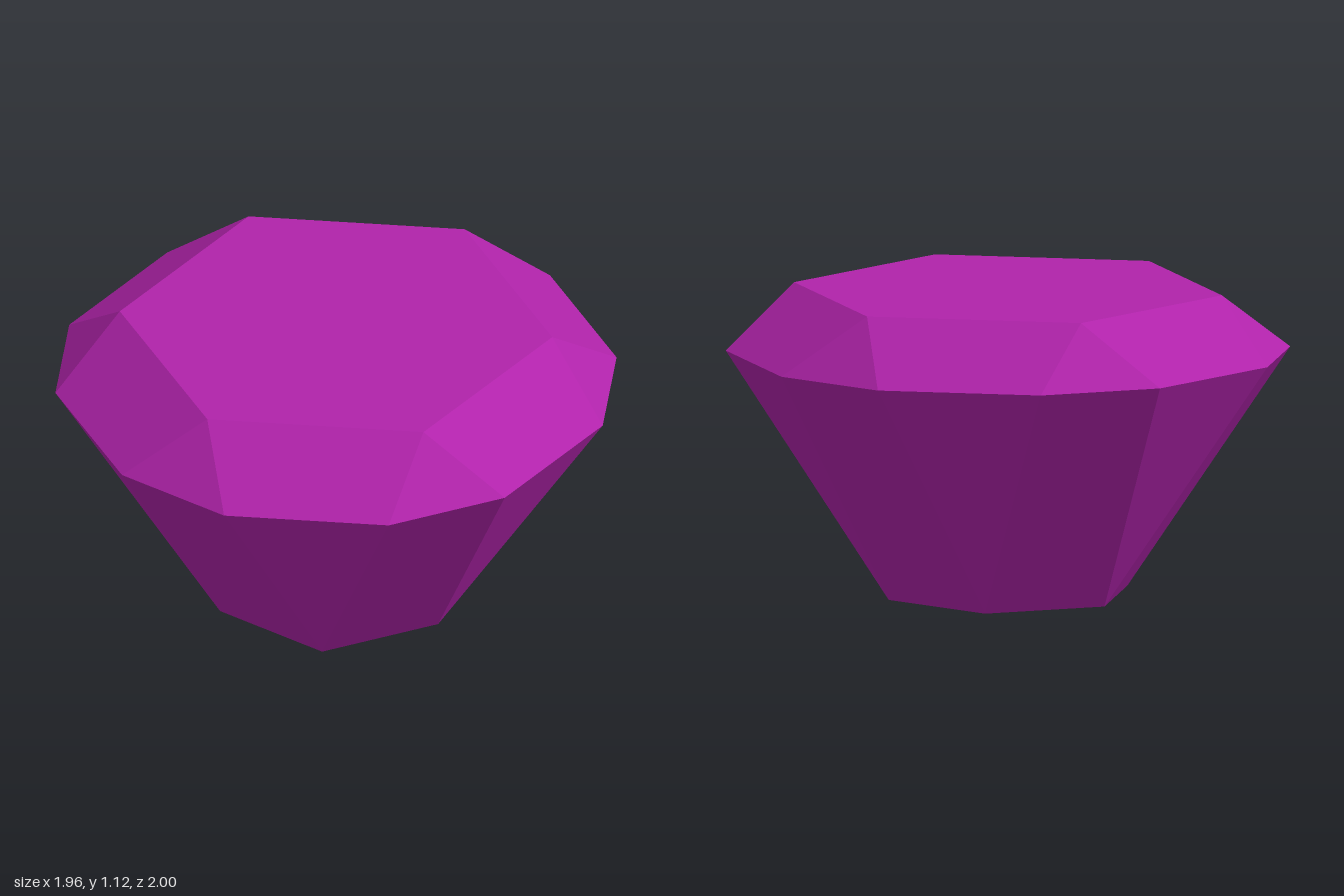
import * as THREE from 'three';

// Point on a horizontal ring; the angle runs from +z towards +x
const at = (radius, degrees, y) => {
  const a = THREE.MathUtils.degToRad(degrees);
  return new THREE.Vector3(radius * Math.sin(a), y, radius * Math.cos(a));
};

// Flat facets from convex polygons listed counter-clockwise from outside
function facets(name, polygons, material) {
  const points = [];
  for (const p of polygons) {
    for (let i = 1; i < p.length - 1; i++) points.push(p[0], p[i], p[i + 1]);
  }
  const geometry = new THREE.BufferGeometry().setFromPoints(points);
  geometry.computeVertexNormals();
  const mesh = new THREE.Mesh(geometry, material);
  mesh.name = name;
  return mesh;
}

export function createModel() {
  const gemPurple = new THREE.MeshStandardMaterial({ color: 0xb023aa, flatShading: true });
  gemPurple.name = 'gemPurple';

  const spread = 12.95; // half angle of the short girdle edges
  const top = (i) => at(0.79, i * 60, 1.12);
  const girdle = (i, side) => at(1.026, i * 60 + side * spread, 0.9);
  const base = (i) => at(0.46, i * 60 + 30, 0);

  const table = [], culet = [], crown = [], pavilion = [];
  for (let i = 0; i < 6; i++) {
    table.push(top(i));
    culet.unshift(base(i));
    // Crown: a triangle below each table corner, a trapezoid below each table edge
    crown.push([girdle(i, -1), girdle(i, 1), top(i)]);
    crown.push([girdle(i, 1), girdle(i + 1, -1), top(i + 1), top(i)]);
    // Pavilion: a trapezoid above each base edge, a triangle above each base corner
    pavilion.push([base(i - 1), base(i), girdle(i, 1), girdle(i, -1)]);
    pavilion.push([base(i), girdle(i + 1, -1), girdle(i, 1)]);
  }

  const gem = new THREE.Group();
  gem.name = 'gem';
  gem.add(
    facets('table', [table], gemPurple),
    facets('crown', crown, gemPurple),
    facets('pavilion', pavilion, gemPurple),
    facets('culet', [culet], gemPurple)
  );
  return gem;
}
